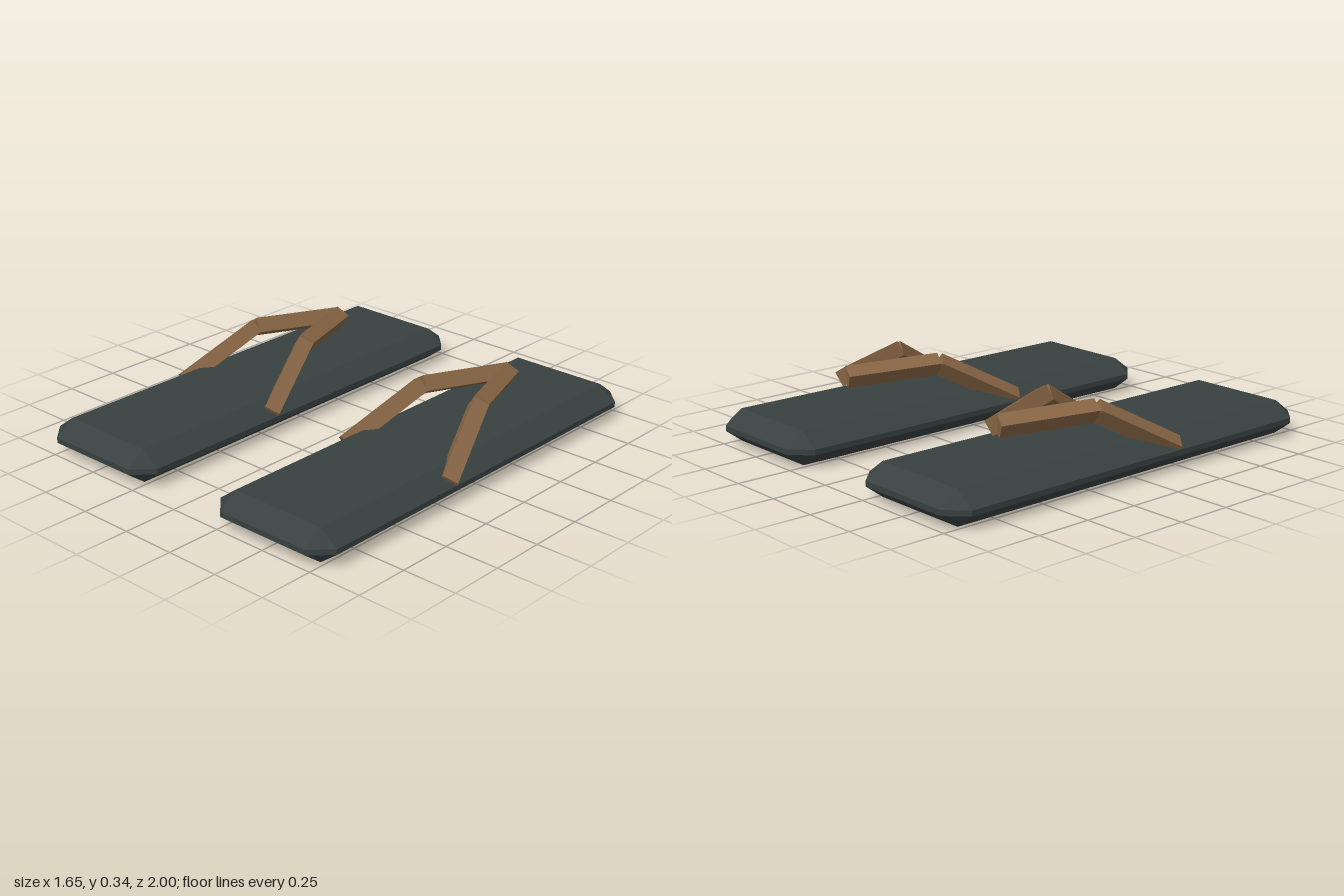
import * as THREE from 'three';
import { ConvexGeometry } from 'three/addons/geometries/ConvexGeometry.js';

const rubber = new THREE.MeshStandardMaterial({ color: 0x384140, flatShading: true });
rubber.name = 'dark rubber';
const leather = new THREE.MeshStandardMaterial({ color: 0x866443, flatShading: true });
leather.name = 'brown leather';

// Slab with every edge and corner chamfered
function soleGeometry() {
  const points = [];
  for (const sx of [-1, 1]) for (const sz of [-1, 1]) {
    for (const y of [0, 0.15]) points.push(new THREE.Vector3(sx * 0.228, y, sz * 0.915));
    for (const y of [0.063, 0.087]) {
      points.push(new THREE.Vector3(sx * 0.313, y, sz * 0.915));
      points.push(new THREE.Vector3(sx * 0.228, y, sz));
    }
  }
  return new ConvexGeometry(points);
}

// Square bar between two points, rolled about its own length
function bar(name, from, to, roll) {
  const size = 0.07;
  const mesh = new THREE.Mesh(new THREE.BoxGeometry(size, size, from.distanceTo(to)), leather);
  mesh.name = name;
  mesh.position.copy(from).add(to).multiplyScalar(0.5);
  mesh.lookAt(to);
  mesh.rotateZ(roll);
  return mesh;
}

function createSandal(name) {
  const sandal = new THREE.Group();
  sandal.name = name;
  const sole = new THREE.Mesh(soleGeometry(), rubber);
  sole.name = 'sole';
  sandal.add(sole);

  // Two mirrored strap arms, meeting over the toes
  for (const s of [-1, 1]) {
    const apex = new THREE.Vector3(s * 0.008, 0.267, -0.522);
    const knee = new THREE.Vector3(s * 0.155, 0.287, -0.125);
    const heel = new THREE.Vector3(s * 0.277, 0.092, 0.222);
    const arm = new THREE.Group();
    arm.name = s > 0 ? 'leftStrapArm' : 'rightStrapArm';
    arm.add(bar('upperStrap', apex, knee, -s * 0.55));
    arm.add(bar('lowerStrap', knee, heel, -s * 0.55));
    sandal.add(arm);
  }
  return sandal;
}

export function createModel() {
  const model = new THREE.Group();
  model.name = 'pairOfSandals';
  for (const s of [-1, 1]) {
    const sandal = createSandal(s > 0 ? 'leftSandal' : 'rightSandal');
    sandal.position.x = s * 0.5;
    model.add(sandal);
  }
  return model;
}
